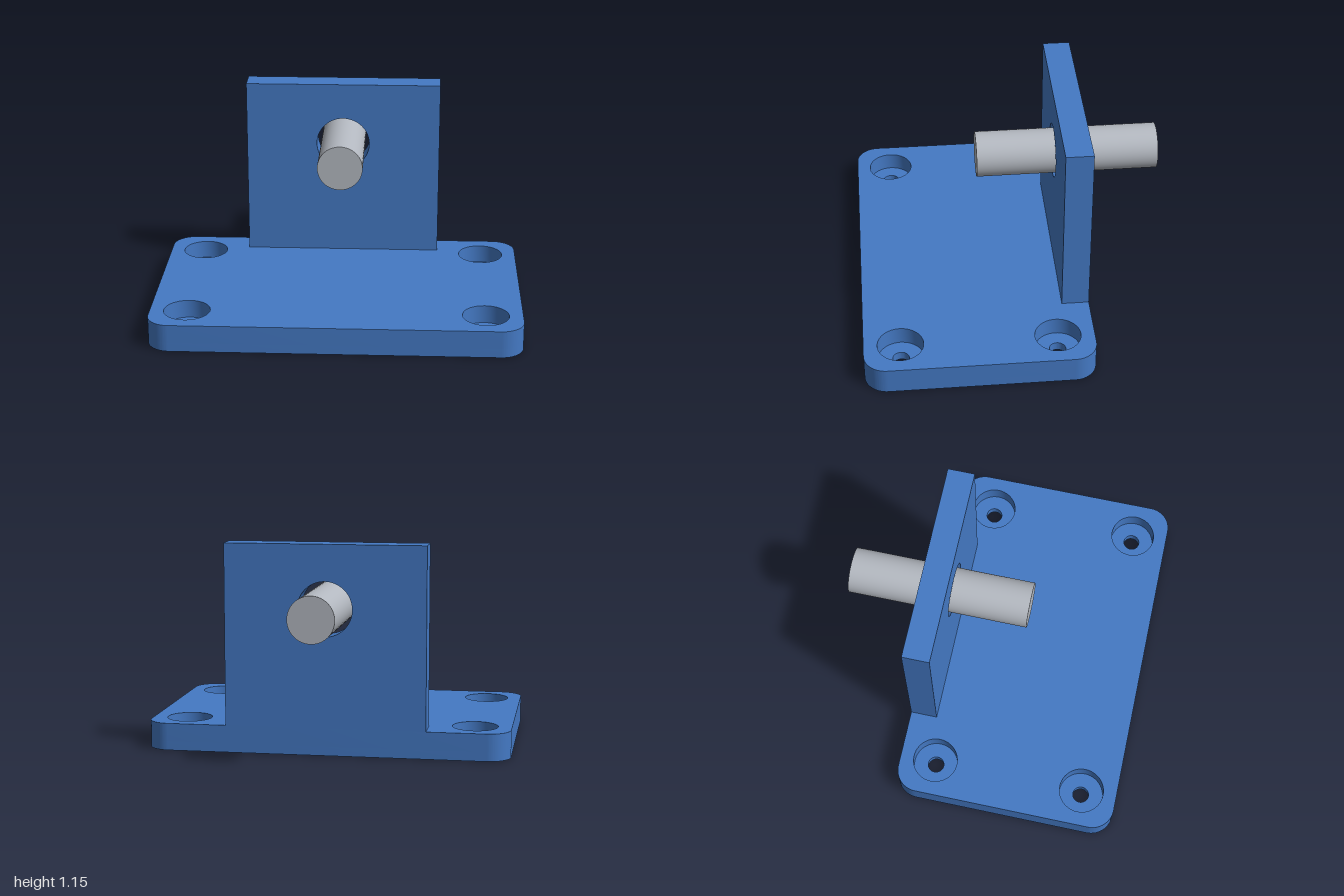
import * as THREE from 'three';
import { toCreasedNormals } from 'three/addons/utils/BufferGeometryUtils.js';

const blue = new THREE.MeshStandardMaterial({ color: 0x4479c4 });
blue.name = 'blue paint';
const steel = new THREE.MeshStandardMaterial({ color: 0xb4b9c1 });
steel.name = 'steel grey';

function circleHole(x, y, r) {
  const path = new THREE.Path();
  path.absarc(x, y, r, 0, Math.PI * 2, true);
  return path;
}

function roundedRect(x0, y0, x1, y1, r) {
  const s = new THREE.Shape();
  s.absarc(x1 - r, y1 - r, r, 0, Math.PI / 2);
  s.absarc(x0 + r, y1 - r, r, Math.PI / 2, Math.PI);
  s.absarc(x0 + r, y0 + r, r, Math.PI, Math.PI * 1.5);
  s.absarc(x1 - r, y0 + r, r, Math.PI * 1.5, Math.PI * 2);
  s.closePath();
  return s;
}

function extrude(shape, depth) {
  return new THREE.ExtrudeGeometry(shape, { depth, bevelEnabled: false, curveSegments: 24 });
}

function addMesh(group, name, geometry, material) {
  const mesh = new THREE.Mesh(toCreasedNormals(geometry, 0.6), material);
  mesh.name = name;
  group.add(mesh);
}

// One horizontal layer of the base, pierced by four holes
function baseLayer(holeRadius, top, thickness) {
  const shape = roundedRect(-1, -0.415, 1, 0.835, 0.125);
  for (const x of [-0.8, 0.8]) {
    for (const z of [-0.215, 0.635]) shape.holes.push(circleHole(x, z, holeRadius));
  }
  return extrude(shape, thickness).rotateX(Math.PI / 2).translate(0, top, 0);
}

export function createModel() {
  const model = new THREE.Group();
  model.name = 'shaftBracket';

  // Base plate: narrow screw holes below, wide counterbores above
  const base = new THREE.Group();
  base.name = 'basePlate';
  addMesh(base, 'screwHoleLayer', baseLayer(0.045, 0.05, 0.05), blue);
  addMesh(base, 'counterboreLayer', baseLayer(0.125, 0.15, 0.1), blue);
  model.add(base);

  // Upright plate with the shaft clearance hole
  const plate = new THREE.Shape();
  plate.moveTo(-0.55, 0.15);
  plate.lineTo(0.55, 0.15);
  plate.lineTo(0.55, 1.15);
  plate.lineTo(-0.55, 1.15);
  plate.closePath();
  plate.holes.push(circleHole(0, 0.8, 0.15));
  addMesh(model, 'uprightPlate', extrude(plate, 0.15).translate(0, 0, -0.415), blue);

  // Shaft passing through the upright
  const shaft = new THREE.CylinderGeometry(0.125, 0.125, 1, 64);
  shaft.rotateX(Math.PI / 2).translate(0, 0.8, -0.335);
  addMesh(model, 'shaft', shaft, steel);

  return model;
}
